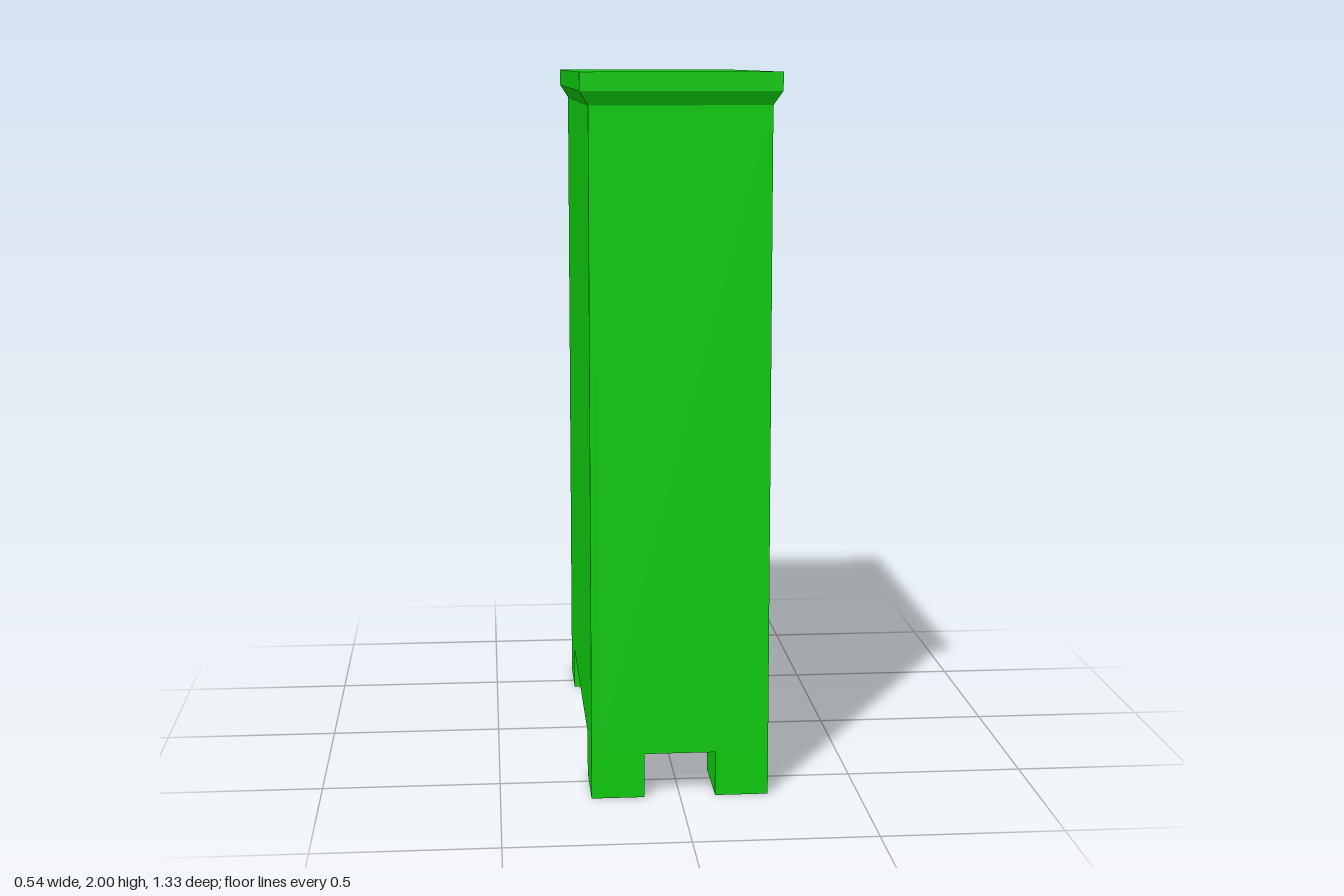
import * as THREE from 'three';

export function createModel() {
  const group = new THREE.Group();
  group.name = 'cabinet';
  const paint = (color) => new THREE.MeshStandardMaterial({ color });
  const green = paint(0x0ecc0e), yellow = paint(0xcccc0e), red = paint(0xcc0e0e), dark = paint(0x4a0808);

  const add = (parent, name, geometry, material, x = 0, y = 0, z = 0) => {
    const mesh = new THREE.Mesh(geometry, material);
    mesh.name = name;
    mesh.position.set(x, y, z);
    parent.add(mesh);
    return mesh;
  };
  const box = (parent, name, material, w, h, d, x, y, z) =>
    add(parent, name, new THREE.BoxGeometry(w, h, d), material, x, y, z);

  const X = 0.247, Z = 0.645, LEG = 0.125, TOP = 1.912;
  const DOOR_Z = 0.544, DOOR_LOW = 0.193, DOOR_HIGH = 1.814, DOOR_X = 0.227;

  // Hollow carcass: a rectangular frame swept through the depth of the cabinet
  const rectangle = (path, z, y0, y1) =>
    path.moveTo(-z, y0).lineTo(z, y0).lineTo(z, y1).lineTo(-z, y1).closePath();
  const outline = rectangle(new THREE.Shape(), Z, LEG, TOP);
  outline.holes.push(rectangle(new THREE.Path(), DOOR_Z, DOOR_LOW, DOOR_HIGH));
  const carcass = new THREE.ExtrudeGeometry(outline, { depth: 2 * X - 0.02, bevelEnabled: false });
  carcass.rotateY(Math.PI / 2);
  add(group, 'carcass', carcass, green, -X + 0.02);
  box(group, 'backPanel', green, 0.02, TOP - LEG, 2 * Z, -X + 0.01, (TOP + LEG) / 2, 0);

  // Four corner feet
  for (const sx of [-1, 1]) for (const sz of [-1, 1]) {
    box(group, 'foot', green, 0.148, LEG, 0.216, sx * (X - 0.074), LEG / 2, sz * (Z - 0.108));
  }

  // Flared moulding under the top slab
  const flare = new THREE.BoxGeometry(0.542, 0.038, 1.332);
  const p = flare.attributes.position;
  for (let i = 0; i < p.count; i++) {
    if (p.getY(i) < 0) p.setXYZ(i, Math.sign(p.getX(i)) * X, p.getY(i), Math.sign(p.getZ(i)) * Z);
  }
  flare.computeVertexNormals();
  add(group, 'topMoulding', flare, green, 0, TOP + 0.019, 0);
  box(group, 'topSlab', green, 0.542, 0.05, 1.332, 0, 1.975, 0);

  // Recessed door panel
  box(group, 'doorPanel', yellow, 0.025, DOOR_HIGH - DOOR_LOW - 0.004, 2 * DOOR_Z - 0.004,
    DOOR_X - 0.0125, (DOOR_HIGH + DOOR_LOW) / 2, 0);

  // Hinges: one leaf on the frame, one on the door, joined by a barrel
  const barrel = new THREE.CylinderGeometry(0.005, 0.005, 0.09, 12);
  const screw = new THREE.CylinderGeometry(0.005, 0.005, 0.002, 10).rotateZ(Math.PI / 2);
  for (const side of [-1, 1]) for (const y of [1.548, 0.583]) {
    const hinge = new THREE.Group();
    hinge.name = 'hinge';
    hinge.position.set(0, y, side * DOOR_Z);
    group.add(hinge);
    box(hinge, 'frameLeaf', red, 0.004, 0.09, 0.046, X + 0.002, 0, side * 0.023);
    box(hinge, 'doorLeaf', red, 0.004, 0.09, 0.055, DOOR_X + 0.002, 0, -side * 0.0275);
    box(hinge, 'leafBend', red, X - DOOR_X + 0.004, 0.09, 0.004, (X + DOOR_X) / 2 + 0.002, 0, -side * 0.002);
    add(hinge, 'barrel', barrel, red, X + 0.002, 0, 0);
    for (const dy of [-0.026, 0.026]) {
      add(hinge, 'screw', screw, dark, X + 0.0042, dy, side * 0.026);
      add(hinge, 'screw', screw, dark, DOOR_X + 0.0042, dy, -side * 0.03);
    }
  }
  return group;
}
